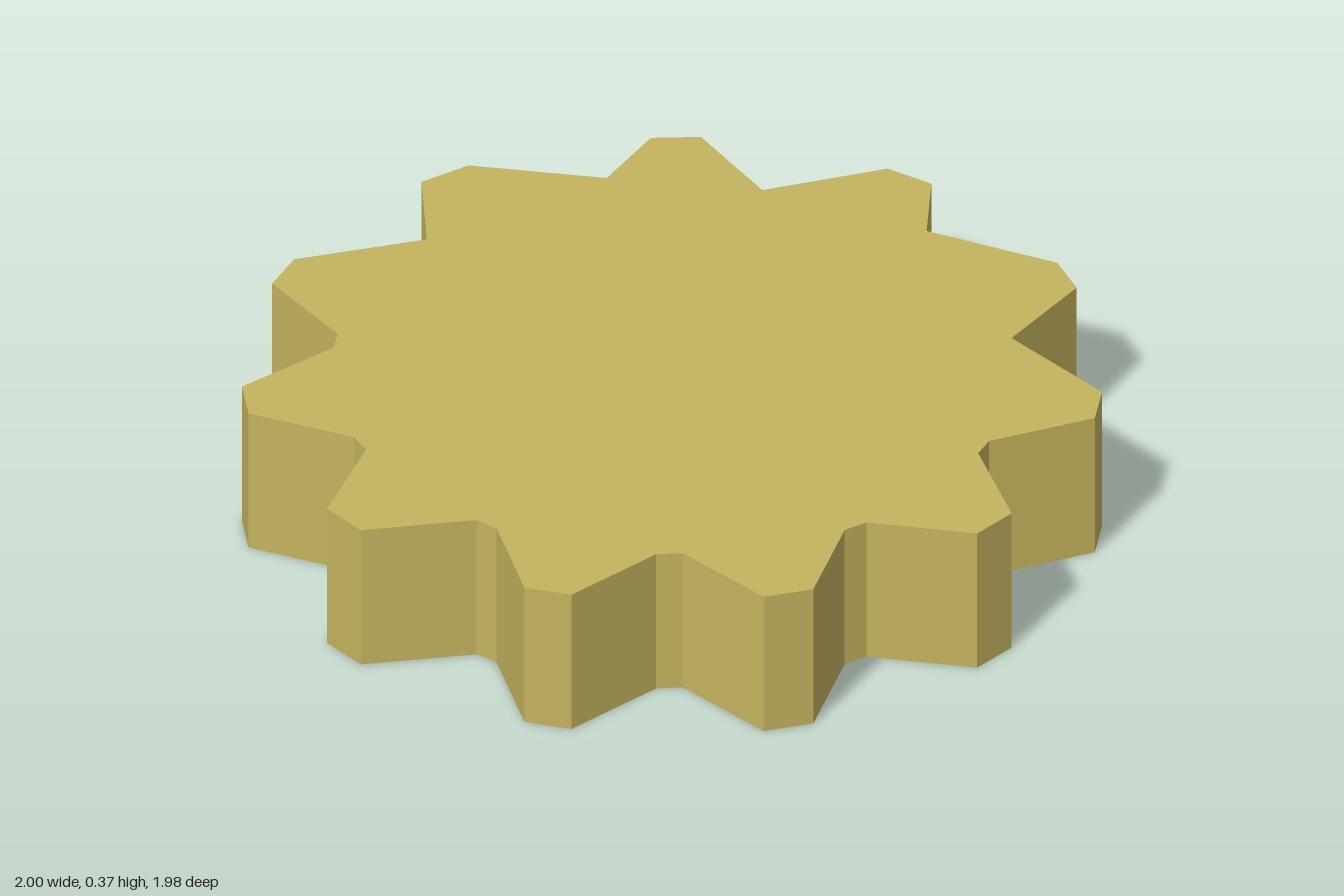
import * as THREE from 'three';

const HEIGHT = 0.37, RECESS_RADIUS = 0.715, RECESS_DEPTH = 0.115, RECESS_SIDES = 18;

// Toothed outline as (x, z), clockwise seen from above, one row per tooth and the valley after it
const OUTLINE = [
  [-0.05, -0.99], [0.08, -0.99], [0.32, -0.77],
  [0.50, -0.86], [0.60, -0.80], [0.595, -0.53],
  [0.89, -0.45], [0.94, -0.34], [0.82, -0.175],
  [1.0, 0.105], [0.98, 0.22], [0.735, 0.32],
  [0.785, 0.63], [0.71, 0.715], [0.45, 0.665], [0.40, 0.695],
  [0.325, 0.955], [0.21, 0.985], [0.02, 0.805], [-0.04, 0.805],
  [-0.24, 0.98], [-0.355, 0.945], [-0.41, 0.685], [-0.465, 0.655],
  [-0.725, 0.695], [-0.80, 0.61], [-0.715, 0.36], [-0.735, 0.305],
  [-0.985, 0.195], [-1.0, 0.075], [-0.785, -0.09], [-0.78, -0.15],
  [-0.93, -0.37], [-0.88, -0.475], [-0.61, -0.50], [-0.57, -0.545],
  [-0.58, -0.81], [-0.48, -0.87], [-0.175, -0.775],
];

// Outline as a shape; zSign sets which way z runs along the shape's y
const outlineShape = (zSign) =>
  new THREE.Shape(OUTLINE.map(([x, z]) => new THREE.Vector2(x, z * zSign)));

// Flat-shaded upright walls around the outline
function wallGeometry() {
  const positions = [];
  OUTLINE.forEach(([ax, az], i) => {
    const [bx, bz] = OUTLINE[(i + 1) % OUTLINE.length];
    positions.push(ax, 0, az, ax, HEIGHT, az, bx, HEIGHT, bz);
    positions.push(ax, 0, az, bx, HEIGHT, bz, bx, 0, bz);
  });
  const geometry = new THREE.BufferGeometry();
  geometry.setAttribute('position', new THREE.Float32BufferAttribute(positions, 3));
  geometry.computeVertexNormals();
  return geometry;
}

export function createModel() {
  const group = new THREE.Group();
  group.name = 'toothedDisc';
  const brass = new THREE.MeshStandardMaterial({ color: 0xc4b35e });
  brass.name = 'brass';
  const inner = brass.clone();
  inner.name = 'brass inside';
  inner.side = THREE.BackSide;

  const add = (name, geometry, material = brass) => {
    const mesh = new THREE.Mesh(geometry, material);
    mesh.name = name;
    group.add(mesh);
    return mesh;
  };

  add('toothedWall', wallGeometry());

  // Solid top face
  const top = new THREE.ShapeGeometry(outlineShape(-1)).rotateX(-Math.PI / 2);
  add('topFace', top.translate(0, HEIGHT, 0));

  // Underside rim with a round opening
  const rimShape = outlineShape(1);
  const circle = [];
  for (let i = 0; i < RECESS_SIDES; i++) {
    const a = (i / RECESS_SIDES) * Math.PI * 2;
    circle.push(new THREE.Vector2(Math.cos(a) * RECESS_RADIUS, Math.sin(a) * RECESS_RADIUS));
  }
  rimShape.holes.push(new THREE.Path(circle));
  add('undersideRim', new THREE.ShapeGeometry(rimShape).rotateX(Math.PI / 2));

  // Shallow round recess in the underside
  const recess = new THREE.CylinderGeometry(
    RECESS_RADIUS, RECESS_RADIUS, RECESS_DEPTH, RECESS_SIDES, 1, true, Math.PI / 2);
  add('recessWall', recess.translate(0, RECESS_DEPTH / 2, 0), inner);
  const floor = new THREE.CircleGeometry(RECESS_RADIUS, RECESS_SIDES).rotateX(Math.PI / 2);
  add('recessFloor', floor.translate(0, RECESS_DEPTH, 0));

  return group;
}
